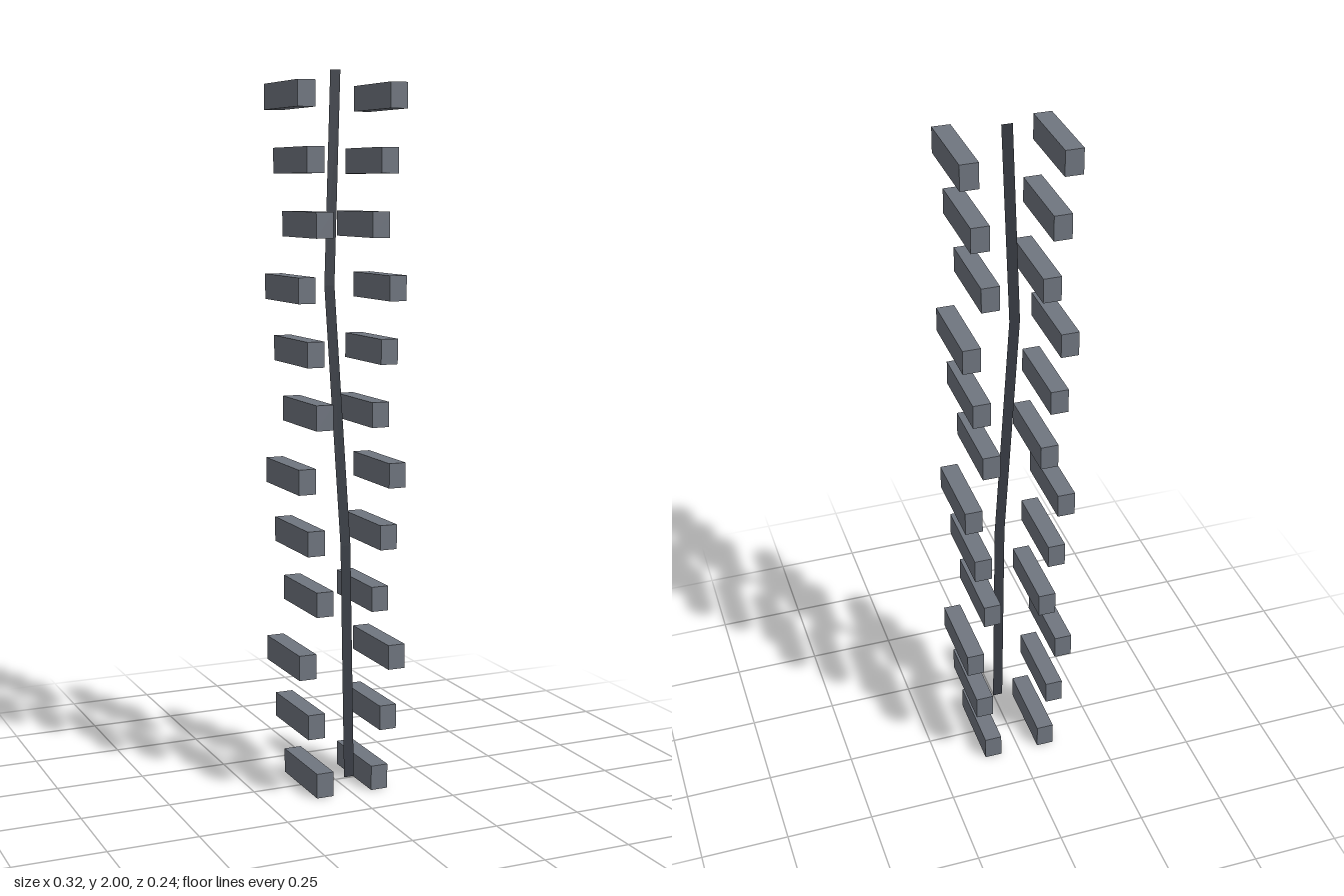
import * as THREE from 'three';

const ROWS = 12;
const BAR = { width: 0.05, height: 0.07, depth: 0.24 };
const RIBBON_WIDTH = 0.03;

// Flat ribbon of constant width in x, swept along a list of centre points
function ribbonGeometry(path, width) {
  const positions = [];
  const index = [];
  path.forEach(([x, y, z], i) => {
    positions.push(x - width / 2, y, z, x + width / 2, y, z);
    if (i > 0) {
      const a = (i - 1) * 2;
      index.push(a, a + 1, a + 3, a, a + 3, a + 2);
    }
  });
  const geometry = new THREE.BufferGeometry();
  geometry.setAttribute('position', new THREE.Float32BufferAttribute(positions, 3));
  geometry.setIndex(index);
  geometry.computeVertexNormals();
  return geometry;
}

export function createModel() {
  const model = new THREE.Group();
  model.name = 'barColumn';

  const barMaterial = new THREE.MeshStandardMaterial({ color: 0x707680 });
  const ribbonMaterial = new THREE.MeshStandardMaterial({
    color: 0x3a3e46, side: THREE.DoubleSide, flatShading: true,
  });

  // Mirrored bars, stepping outwards in a repeating cycle of three rows
  const barGeometry = new THREE.BoxGeometry(BAR.width, BAR.height, BAR.depth);
  const bottom = BAR.height / 2;
  const spacing = (1.93 - bottom) / (ROWS - 1);
  for (let row = 0; row < ROWS; row++) {
    const offset = 0.083 + (row % 3) * 0.026;
    for (const side of [-1, 1]) {
      const bar = new THREE.Mesh(barGeometry, barMaterial);
      bar.name = side > 0 ? 'leftBar' : 'rightBar';
      bar.position.set(side * offset, bottom + row * spacing, 0);
      model.add(bar);
    }
  }

  // Thin bent strip running up between the bars
  const path = [[0, 0.04, 0.095], [0, 0.7, 0.07], [-0.033, 1.42, 0.035], [0, 2, 0]];
  const strip = new THREE.Mesh(ribbonGeometry(path, RIBBON_WIDTH), ribbonMaterial);
  strip.name = 'centreStrip';
  model.add(strip);

  return model;
}
